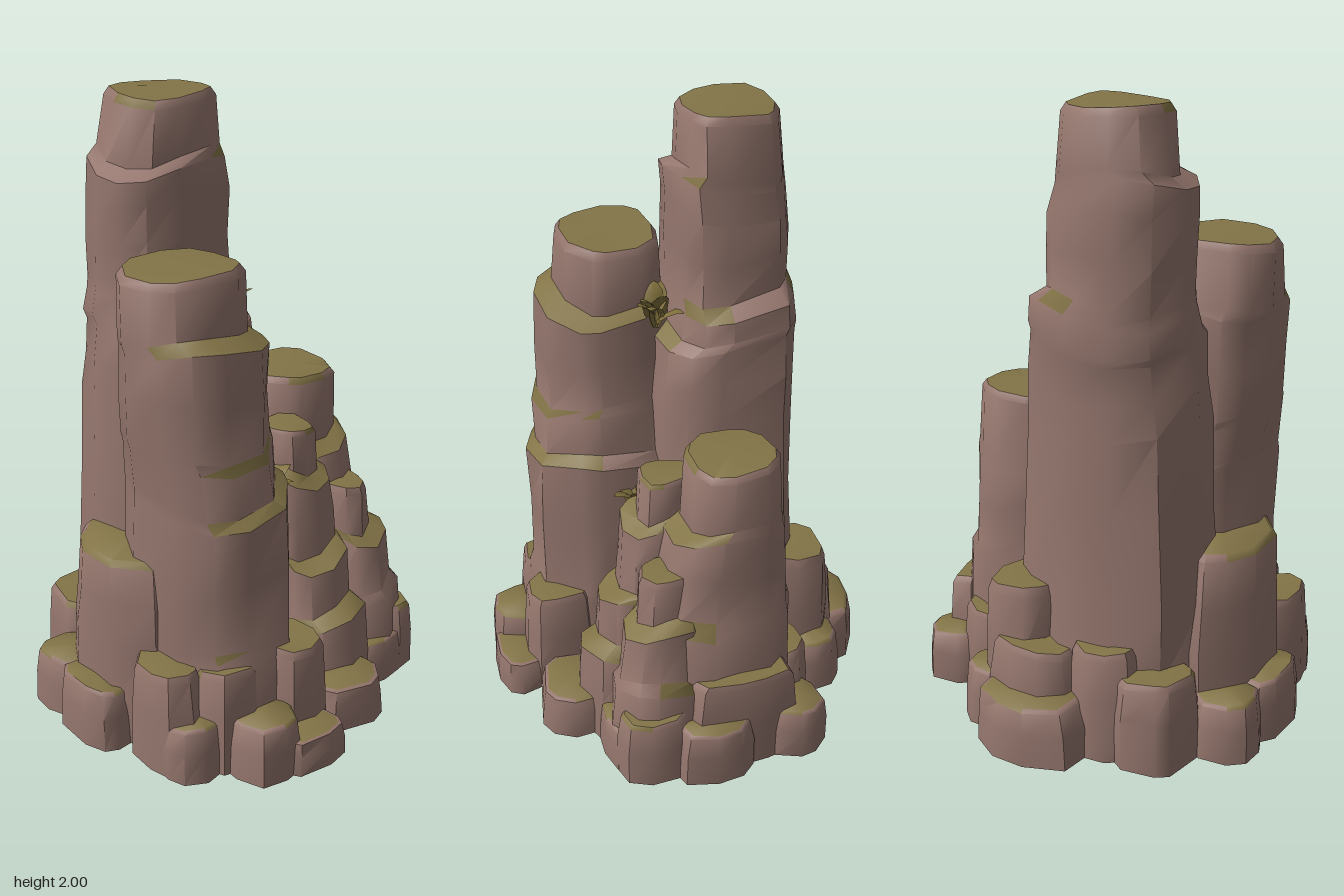
import * as THREE from 'three';
import { toCreasedNormals } from 'three/addons/utils/BufferGeometryUtils.js';

const rock = new THREE.MeshStandardMaterial({ color: 0x94766d });
rock.name = 'rock';
const moss = new THREE.MeshStandardMaterial({ color: 0x837447 });
moss.name = 'moss';
const leaf = new THREE.MeshStandardMaterial({ color: 0x7f6f3c, side: THREE.DoubleSide });
leaf.name = 'leaf';

// Repeatable value between 0 and 1
const hash = (a, b = 0) => {
  const v = Math.sin(a * 127.1 + b * 311.7 + 5.3) * 43758.5453;
  return v - Math.floor(v);
};

// Rock pillar lofted through rings [y, xMin, xMax, zMin, zMax], with mossy cap and ledges
function pillar(name, levels, top, seed, sides = 12) {
  // Add a middle ring to long stretches
  const rings = [];
  levels.forEach((l, i) => {
    const p = levels[i - 1];
    if (p && l[0] - p[0] > 0.2) rings.push(l.map((v, k) => (v + p[k]) / 2));
    rings.push(l);
  });
  const topY = rings[rings.length - 1][0];
  const ringPoints = ([y, x0, x1, z0, z1], i, shrink = 1) =>
    Array.from({ length: sides }, (_, j) => {
      const a = ((j + 0.5 * hash(seed, j + 40)) / sides) * Math.PI * 2;
      const box = (v) => Math.sign(v) * Math.abs(v) ** 0.82;
      const r = (1.04 - 0.1 * hash(seed, j) - 0.05 * hash(seed + i, j + 9)) * shrink;
      const wave = Math.sin(a * 2 + seed + y * 6) * 0.025 * Math.min(1, y * 3);
      return new THREE.Vector3(
        (x0 + x1) / 2 + box(Math.cos(a)) * r * (x1 - x0) / 2,
        y + wave * (y > topY - 0.08 ? 0.25 : 1),
        (z0 + z1) / 2 + box(Math.sin(a)) * r * (z1 - z0) / 2
      );
    });
  const loops = rings.map((r, i) => ringPoints(r, i));
  const last = rings[rings.length - 1];
  loops.push(ringPoints([top - 0.006, ...last.slice(1)], rings.length - 1, 0.9));
  const centre = (y) => new THREE.Vector3((last[1] + last[2]) / 2, y, (last[3] + last[4]) / 2);

  const rockTris = [], mossTris = [];
  const normal = new THREE.Vector3();
  const tri = new THREE.Triangle();
  const add = (a, b, c, mossy) => {
    tri.set(a, b, c).getNormal(normal);
    const list = mossy && normal.y > 0.4 ? mossTris : rockTris;
    list.push(...a.toArray(), ...b.toArray(), ...c.toArray());
  };
  for (let i = 0; i < loops.length - 1; i++) {
    for (let j = 0; j < sides; j++) {
      const k = (j + 1) % sides;
      const [a, b, c, d] = [loops[i][j], loops[i][k], loops[i + 1][k], loops[i + 1][j]];
      const patch = hash(seed * 3 + i, Math.floor(j / 2) + 20) > (i === loops.length - 2 ? 0.75 : 0.4);
      add(a, d, b, patch);
      add(b, d, c, patch);
    }
  }
  // Cap and underside
  const cap = loops[loops.length - 1], foot = loops[0];
  const footCentre = foot.reduce((s, p) => s.add(p), new THREE.Vector3()).divideScalar(sides);
  for (let j = 0; j < sides; j++) {
    const k = (j + 1) % sides;
    add(cap[j], centre(top), cap[k], true);
    add(foot[k], footCentre, foot[j], false);
  }
  let geo = new THREE.BufferGeometry();
  geo.setAttribute('position', new THREE.Float32BufferAttribute(rockTris.concat(mossTris), 3));
  geo = toCreasedNormals(geo, 0.8);
  geo.clearGroups();
  geo.addGroup(0, rockTris.length / 3, 0);
  geo.addGroup(rockTris.length / 3, mossTris.length / 3, 1);
  const mesh = new THREE.Mesh(geo, [rock, moss]);
  mesh.name = name;
  return mesh;
}

// Boulder: a short pillar given by centre, half sizes and height
function boulder([x, z, rx, rz, h], i) {
  const ring = (y, s) => [y, x - rx * s, x + rx * s, z - rz * s, z + rz * s];
  return pillar('baseBoulder', [ring(0, 1.05), ring(h * 0.55, 1.02), ring(h * 0.92, 0.93)], h, i + 20, 9);
}

// Tuft of curved, pointed leaves
function tuft(x, y, z, size, seed) {
  const group = new THREE.Group();
  group.name = 'plant';
  for (let i = 0; i < 9; i++) {
    const geo = new THREE.PlaneGeometry(1, 1, 2, 5);
    const p = geo.attributes.position;
    const reach = size * (0.2 + 0.4 * hash(seed, i));
    const height = size * (0.5 + 0.5 * hash(seed, i + 30));
    for (let v = 0; v < p.count; v++) {
      const t = p.getY(v) + 0.5;
      const w = p.getX(v) * size * 0.3 * Math.sin(Math.PI * (0.1 + 0.9 * t));
      p.setXYZ(v, w, height * (t - 0.35 * t ** 3), reach * t * t + Math.abs(w) * 0.4);
    }
    geo.computeVertexNormals();
    const blade = new THREE.Mesh(geo, leaf);
    blade.name = 'leafBlade';
    blade.rotation.y = i * 2.4 + hash(seed, i + 60);
    group.add(blade);
  }
  group.position.set(x, y, z);
  return group;
}

export function createModel() {
  const model = new THREE.Group();
  model.name = 'rockFormation';

  // Main pillars
  model.add(
    pillar('tallPillar', [
      [0, -0.43, 0.22, -0.47, 0.1], [0.5, -0.41, 0.2, -0.44, 0.1], [1.03, -0.38, 0.175, -0.43, 0.09],
      [1.28, -0.36, 0.16, -0.43, 0.07], [1.31, -0.36, 0.155, -0.43, 0.02], [1.39, -0.35, 0.15, -0.42, 0.01],
      [1.43, -0.345, 0.1, -0.41, 0], [1.69, -0.345, 0.095, -0.4, 0], [1.78, -0.34, 0.07, -0.385, 0],
      [1.81, -0.29, 0.065, -0.38, -0.03], [1.97, -0.27, 0.05, -0.36, -0.035],
    ], 2, 1),
    pillar('middlePillar', [
      [0, -0.46, 0.04, -0.15, 0.47], [0.34, -0.45, 0.03, -0.13, 0.46], [0.37, -0.45, 0.03, -0.12, 0.44],
      [0.83, -0.45, 0.02, -0.1, 0.44], [0.86, -0.45, -0.02, -0.08, 0.41], [1.0, -0.47, -0.03, -0.06, 0.405],
      [1.03, -0.475, -0.04, -0.06, 0.385], [1.34, -0.48, -0.045, -0.05, 0.38],
      [1.37, -0.48, -0.09, -0.03, 0.31], [1.535, -0.475, -0.095, -0.02, 0.3],
    ], 1.565, 2),
    pillar('shortPillar', [
      [0, 0.08, 0.55, -0.29, 0.25], [0.48, 0.1, 0.525, -0.27, 0.22], [0.52, 0.12, 0.49, -0.27, 0.2],
      [0.8, 0.13, 0.475, -0.25, 0.14], [0.83, 0.15, 0.46, -0.24, 0.08], [1.02, 0.155, 0.455, -0.23, 0.07],
    ], 1.045, 3),
    pillar('frontStep', [
      [0, 0.02, 0.36, 0.02, 0.43], [0.3, 0.03, 0.34, 0.02, 0.41], [0.33, 0.04, 0.31, 0.02, 0.35],
      [0.49, 0.04, 0.3, 0.02, 0.34], [0.52, 0.04, 0.3, 0.02, 0.27], [0.75, 0.05, 0.28, 0, 0.25],
      [0.78, 0.09, 0.25, 0, 0.2], [0.905, 0.09, 0.245, 0, 0.19],
    ], 0.925, 4, 10),
    pillar('sideStep', [
      [0, 0.24, 0.55, 0.03, 0.37], [0.3, 0.25, 0.53, 0.03, 0.35], [0.33, 0.26, 0.5, 0.03, 0.33],
      [0.5, 0.27, 0.49, 0.03, 0.31], [0.53, 0.27, 0.44, 0.03, 0.26], [0.66, 0.28, 0.43, 0.03, 0.25],
    ], 0.69, 5, 10),
    pillar('outerStep', [
      [0, -0.56, -0.2, -0.27, 0.24], [0.34, -0.55, -0.2, -0.26, 0.22], [0.62, -0.54, -0.2, -0.22, 0.2],
    ], 0.645, 6, 10)
  );

  // Boulders around the foot: x, z, half width, half depth, height
  const boulders = [
    [0.03, -0.5, 0.19, 0.13, 0.2], [0.05, -0.42, 0.16, 0.12, 0.34], [0.13, -0.36, 0.13, 0.12, 0.51],
    [-0.33, -0.36, 0.13, 0.13, 0.3], [-0.18, -0.39, 0.12, 0.1, 0.37], [-0.5, -0.2, 0.11, 0.12, 0.2],
    [-0.54, 0, 0.09, 0.14, 0.21], [-0.45, 0.26, 0.09, 0.13, 0.35], [-0.42, 0.35, 0.11, 0.1, 0.19],
    [-0.25, 0.48, 0.11, 0.12, 0.2], [-0.11, 0.53, 0.13, 0.09, 0.12], [-0.08, 0.4, 0.11, 0.12, 0.37],
    [0.15, 0.41, 0.14, 0.12, 0.15], [0.38, 0.29, 0.12, 0.09, 0.16], [0.48, 0.24, 0.09, 0.12, 0.24],
    [0.55, 0.06, 0.08, 0.13, 0.2], [0.5, -0.04, 0.08, 0.2, 0.34], [0.5, -0.23, 0.1, 0.11, 0.18],
    [0.33, -0.24, 0.13, 0.09, 0.3], [0.22, -0.4, 0.1, 0.11, 0.2], [-0.3, 0.36, 0.12, 0.11, 0.35],
  ];
  boulders.forEach((b, i) => model.add(boulder(b, i)));

  // Plants growing between the pillars
  model.add(tuft(-0.07, 1.3, 0.045, 0.22, 3), tuft(0.04, 0.7, 0.15, 0.2, 8));
  return model;
}
